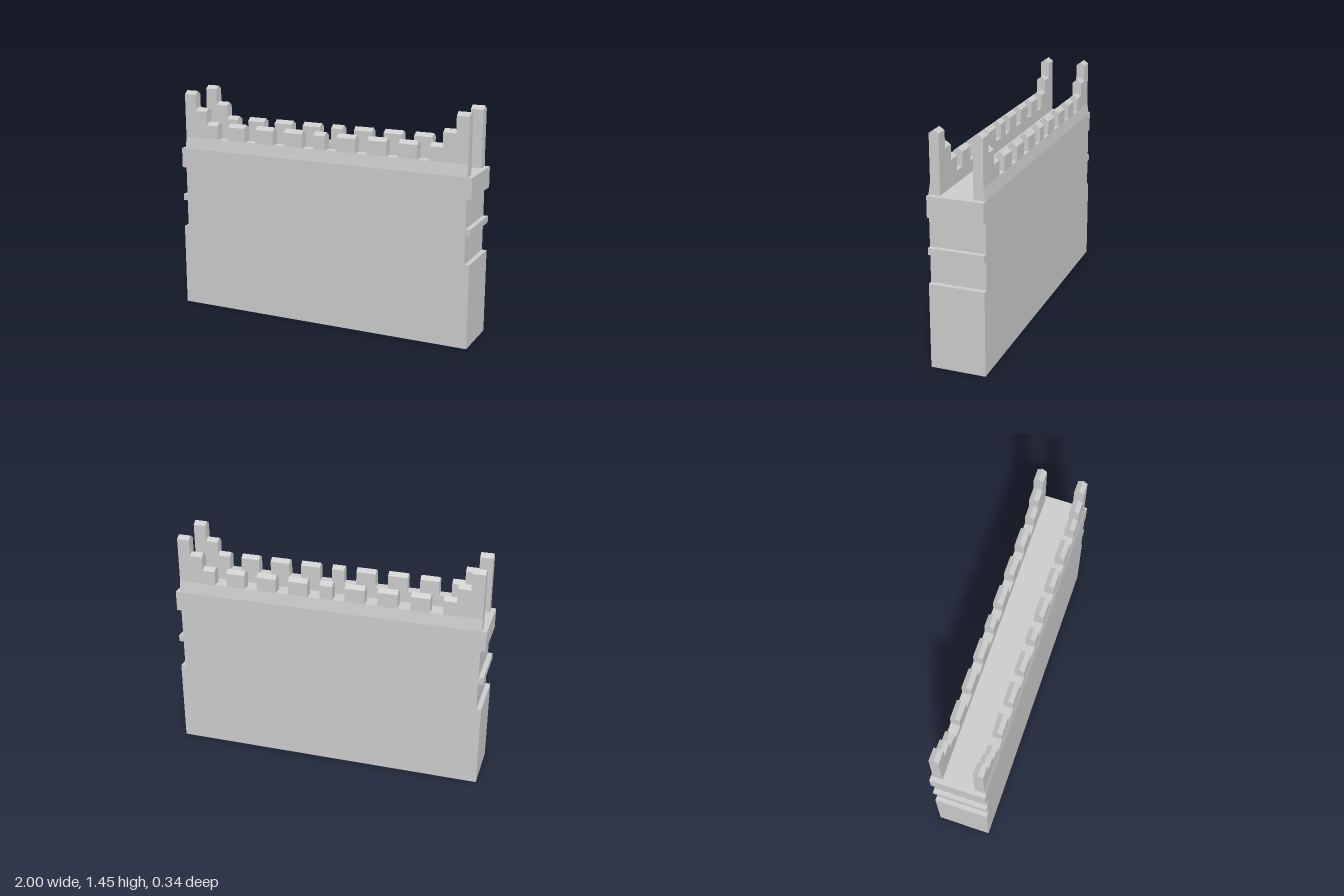
import * as THREE from 'three';

const material = new THREE.MeshStandardMaterial({ color: 0xcccccc, flatShading: true, side: THREE.DoubleSide });

const HALF_X = 0.97;      // half length of the wall core
const HALF_Z = 0.172;     // half depth of the wall
const DECK = 1.07;        // walkway height
const SILL = 1.145;       // floor of the gaps between merlons
const OUTER = 0.16, INNER = 0.1, RIDGE = 0.13;

function addMesh(parent, geometry, name) {
  const mesh = new THREE.Mesh(geometry, material);
  mesh.name = name;
  parent.add(mesh);
  return mesh;
}

// Box with one face left out (0..5 = +x, -x, +y, -y, +z, -z)
function openBox(w, h, d, missing) {
  const geometry = new THREE.BoxGeometry(w, h, d);
  const index = Array.from(geometry.index.array);
  index.splice(missing * 6, 6);
  geometry.setIndex(index);
  geometry.clearGroups();
  return geometry;
}

// Extrudes a [z, y] cross-section along x from x0 to x1
function extrudeAlongX(points, x0, x1) {
  const shape = new THREE.Shape(points.map(([z, y]) => new THREE.Vector2(-z, y)));
  const geometry = new THREE.ExtrudeGeometry(shape, { depth: x1 - x0, bevelEnabled: false });
  return geometry.rotateY(Math.PI / 2).translate(x0, 0, 0);
}

function createParapet(name) {
  const parapet = new THREE.Group();
  parapet.name = name;

  // Sloping base strip
  addMesh(parapet, extrudeAlongX(
    [[HALF_Z, DECK], [OUTER, SILL], [INNER, SILL], [INNER, DECK]], -HALF_X, HALF_X), 'parapetBase');

  // Merlon with a gabled top
  const addMerlon = (x0, x1, top, part) => addMesh(parapet, extrudeAlongX(
    [[OUTER, SILL], [OUTER, top - 0.022], [RIDGE, top], [INNER, top - 0.022], [INNER, SILL]], x0, x1), part);

  addMerlon(-0.04, 0.04, 1.255, 'centreMerlon');
  for (const [a, b, top, part] of [
    [0.12, 0.245, 1.255, 'merlon'],
    [0.325, 0.45, 1.255, 'merlon'],
    [0.53, 0.65, 1.255, 'merlon'],
    [0.73, 0.81, 1.255, 'lowStep'],
    [0.81, 0.89, 1.345, 'middleStep'],
    [0.89, HALF_X, 1.45, 'cornerPost'],
  ]) {
    addMerlon(a, b, top, part);
    addMerlon(-b, -a, top, part);
  }
  return parapet;
}

export function createModel() {
  const model = new THREE.Group();
  model.name = 'castleWall';

  // Hollow core, open underneath
  addMesh(model, openBox(HALF_X * 2, DECK, HALF_Z * 2, 3), 'wallCore').position.y = DECK / 2;

  // Raised bands on both ends
  for (const side of [1, -1]) {
    for (const [y0, y1, name] of [[0, 0.535, 'endPlinth'], [0.715, 0.757, 'endRib'], [0.94, DECK, 'endCornice']]) {
      const band = addMesh(model, openBox(1 - HALF_X, y1 - y0, HALF_Z * 2, side > 0 ? 1 : 0), name);
      band.position.set(side * (1 + HALF_X) / 2, (y0 + y1) / 2, 0);
    }
  }

  // Crenellated parapets, the back one turned around
  model.add(createParapet('frontParapet'));
  const back = createParapet('backParapet');
  back.rotation.y = Math.PI;
  model.add(back);

  return model;
}
